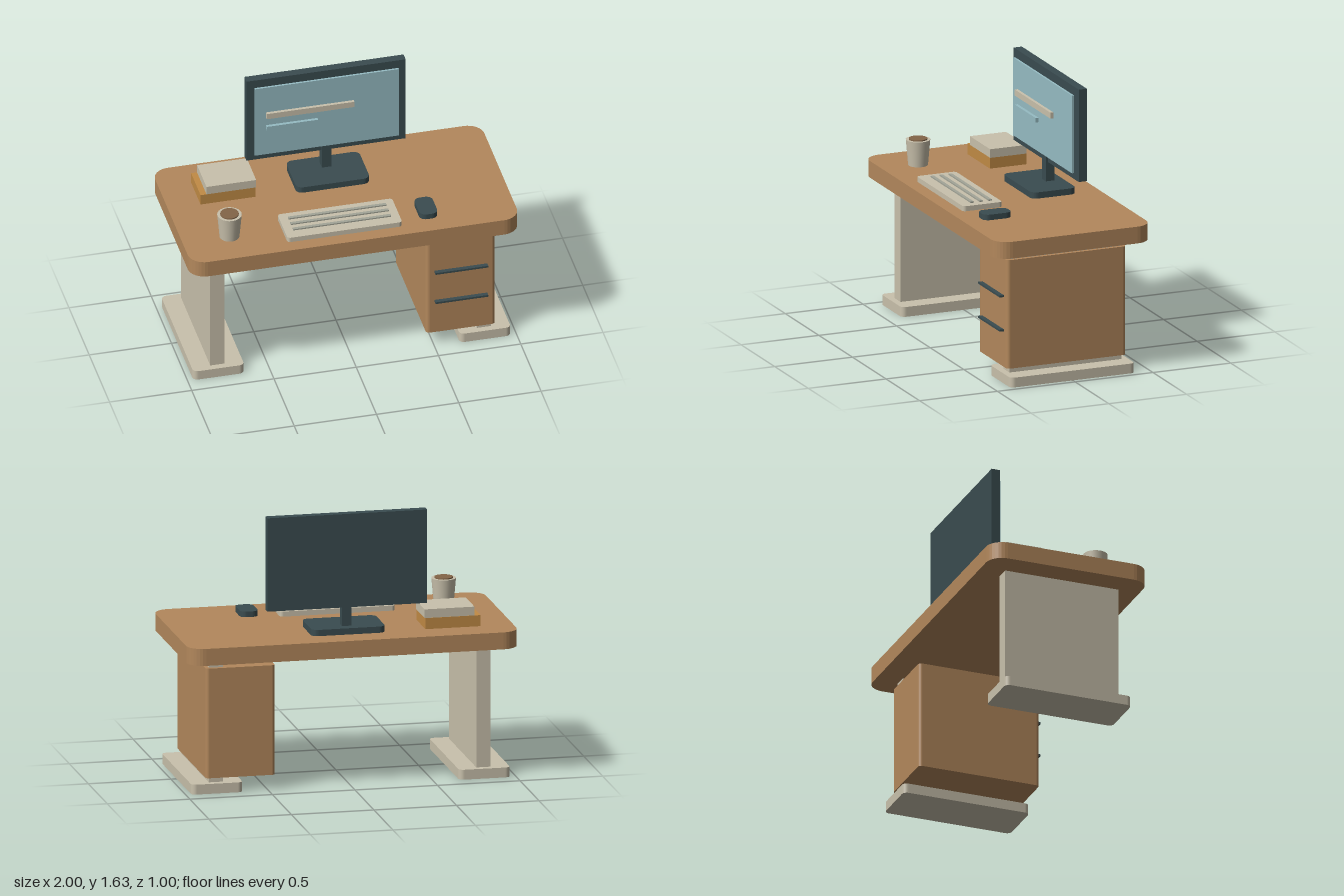
import * as THREE from 'three';

const mat = (name, color) => {
  const m = new THREE.MeshStandardMaterial({ color });
  m.name = name;
  return m;
};

export function createModel() {
  const wood = mat('wood', 0xb3885c);
  const beige = mat('beige', 0xc9c1ac);
  const dark = mat('dark slate', 0x3a4c50);
  const glass = mat('pale teal', 0x96bcc3);
  const ochre = mat('ochre', 0xc18b45);
  const grey = mat('key grey', 0xa3a598);
  const coffee = mat('coffee', 0x836548);

  const desk = new THREE.Group();
  desk.name = 'desk';

  const add = (name, geometry, material, parent = desk) => {
    const mesh = new THREE.Mesh(geometry, material);
    mesh.name = name;
    parent.add(mesh);
    return mesh;
  };
  const group = (name) => {
    const g = new THREE.Group();
    g.name = name;
    desk.add(g);
    return g;
  };

  // Box given by its lower and upper limits on each axis
  const box = (name, [x0, x1], [y0, y1], [z0, z1], material, parent) => {
    const mesh = add(name, new THREE.BoxGeometry(x1 - x0, y1 - y0, z1 - z0), material, parent);
    mesh.position.set((x0 + x1) / 2, (y0 + y1) / 2, (z0 + z1) / 2);
    return mesh;
  };

  // Slab with upright corners rounded by r
  const slab = (name, [x0, x1], [y0, y1], [z0, z1], r, material, parent) => {
    const w = (x1 - x0) / 2, d = (z1 - z0) / 2;
    const s = new THREE.Shape();
    s.moveTo(-w + r, -d);
    s.lineTo(w - r, -d);
    s.absarc(w - r, -d + r, r, -Math.PI / 2, 0);
    s.absarc(w - r, d - r, r, 0, Math.PI / 2);
    s.absarc(-w + r, d - r, r, Math.PI / 2, Math.PI);
    s.absarc(-w + r, -d + r, r, Math.PI, Math.PI * 1.5);
    const g = new THREE.ExtrudeGeometry(s, { depth: y1 - y0, bevelEnabled: false, curveSegments: 4 });
    g.rotateX(-Math.PI / 2);
    const mesh = add(name, g, material, parent);
    mesh.position.set((x0 + x1) / 2, y0, (z0 + z1) / 2);
    return mesh;
  };

  // Table top
  slab('tableTop', [-1, 1], [0.805, 0.908], [-0.5, 0.5], 0.1, wood);

  // Panel legs on long feet
  for (const side of [-1, 1]) {
    const leg = group(side < 0 ? 'rightLeg' : 'leftLeg');
    const x = side * 0.81;
    slab('foot', [x - 0.155, x + 0.155], [0, 0.06], [-0.4, 0.4], 0.03, beige, leg);
    box('legPanel', [x - 0.043, x + 0.043], [0.06, 0.797], [-0.36, 0.36], beige, leg);
  }

  // Drawer cabinet with two pulls
  const cabinet = group('cabinet');
  slab('cabinetBody', [0.455, 0.875], [0.09, 0.757], [-0.383, 0.383], 0.022, wood, cabinet);
  for (const y of [0.525, 0.315]) {
    box('drawerPull', [0.505, 0.825], [y - 0.006, y + 0.006], [0.38, 0.41], dark, cabinet);
  }

  // Monitor
  const monitor = group('monitor');
  slab('monitorBase', [-0.223, 0.223], [0.908, 0.946], [-0.345, -0.06], 0.04, dark, monitor);
  box('monitorNeck', [-0.029, 0.029], [0.946, 1.157], [-0.285, -0.231], dark, monitor);
  box('monitorCase', [-0.484, 0.484], [1.062, 1.63], [-0.298, -0.246], dark, monitor);
  box('screen', [-0.438, 0.438], [1.106, 1.584], [-0.235, -0.222], glass, monitor);
  box('longScreenBar', [-0.37, 0.162], [1.37, 1.407], [-0.222, -0.203], beige, monitor);
  box('shortScreenBar', [-0.37, -0.058], [1.288, 1.315], [-0.222, -0.203], glass, monitor);

  // Keyboard with three rows of keys
  const keyboard = group('keyboard');
  slab('keyboardBody', [-0.397, 0.3], [0.908, 0.939], [0.165, 0.417], 0.02, beige, keyboard);
  for (const z of [0.222, 0.28, 0.338]) {
    box('keyRow', [-0.345, 0.25], [0.938, 0.947], [z - 0.01, z + 0.01], grey, keyboard);
  }

  // Mouse
  slab('mouse', [0.42, 0.53], [0.908, 0.942], [0.2, 0.38], 0.04, dark);

  // Tapered cup with its drink
  const cup = group('cup');
  cup.position.set(-0.714, 0.908, 0.27);
  add('cupBody', new THREE.CylinderGeometry(0.073, 0.059, 0.157, 24), beige, cup).position.y = 0.0785;
  add('drink', new THREE.CylinderGeometry(0.055, 0.055, 0.01, 24), coffee, cup).position.y = 0.159;

  // Two stacked books
  const books = group('books');
  box('lowerBook', [-0.802, -0.468], [0.908, 0.975], [-0.32, -0.086], ochre, books);
  box('upperBook', [-0.766, -0.464], [0.975, 1.028], [-0.318, -0.086], beige, books);

  return desk;
}
